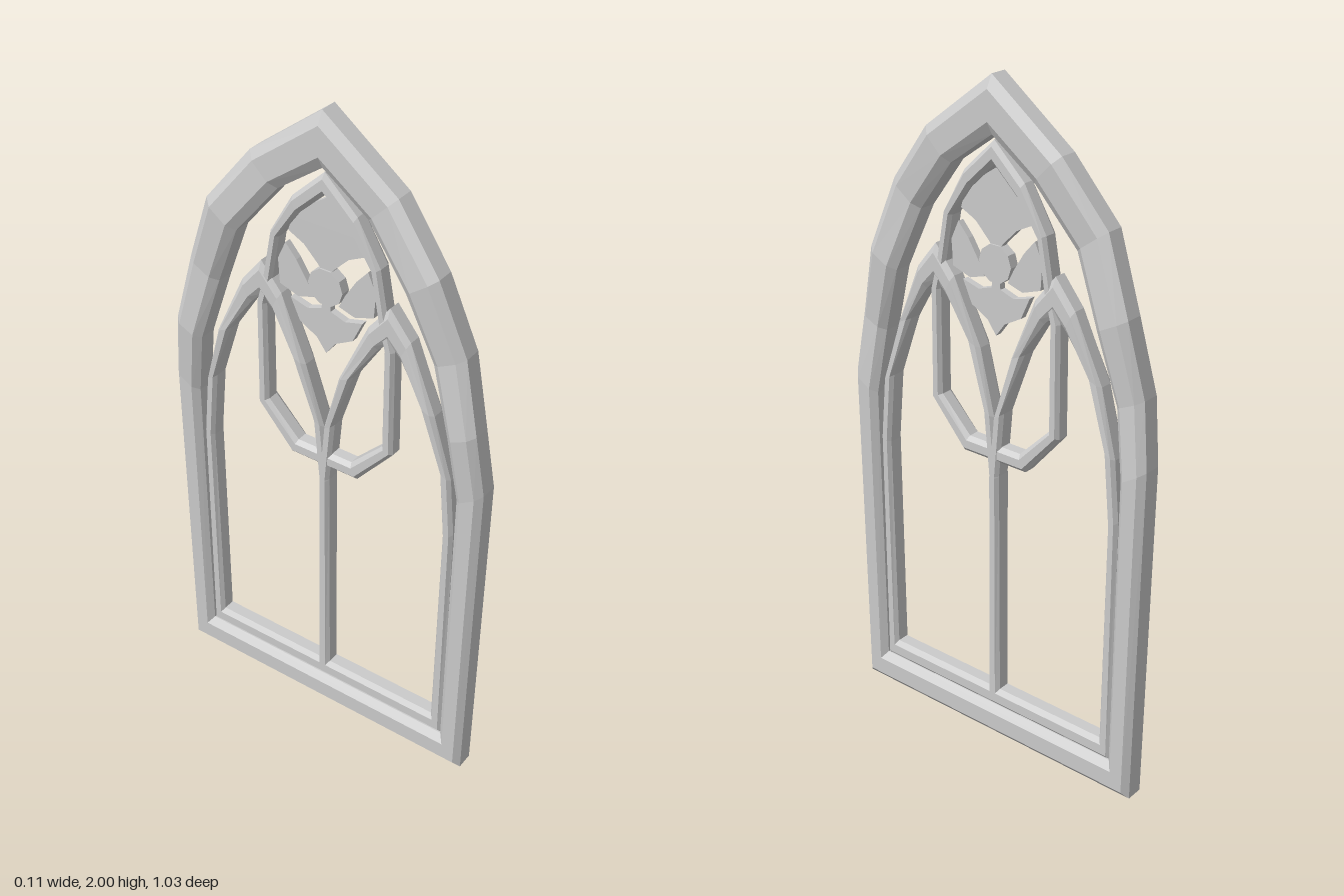
import * as THREE from 'three';

const mat = new THREE.MeshStandardMaterial({ color: 0xcccccc, flatShading: true, side: THREE.DoubleSide });

// Closed chamfered bar lying in the z-y plane, symmetric about z = axis.
// Each row of half: [outer z, outer y, inner z, inner y, shift in x], from bottom corner to apex.
function ring(name, half, depth, flat, chamfer, axis = 0, centre = 0.005) {
  const mirrored = half.slice(0, -1).reverse().map(([a, b, c, d, s]) => [-a, b, -c, d, s]);
  const path = [...half, ...mirrored];
  const section = [
    [0, -flat], [0, flat], [chamfer, depth], [1 - chamfer, depth],
    [1, flat], [1, -flat], [1 - chamfer, -depth], [chamfer, -depth],
  ];
  const pos = [], index = [], n = section.length;
  path.forEach(([oz, oy, iz, iy, s = 0], i) => {
    const next = (i + 1) % path.length;
    section.forEach(([t, x], k) => {
      pos.push(centre + x + s, oy + (iy - oy) * t, axis + oz + (iz - oz) * t);
      const a = i * n + k, b = i * n + (k + 1) % n;
      const c = next * n + (k + 1) % n, d = next * n + k;
      index.push(a, b, c, a, c, d);
    });
  });
  const g = new THREE.BufferGeometry();
  g.setAttribute('position', new THREE.Float32BufferAttribute(pos, 3));
  g.setIndex(index);
  const flatGeo = g.toNonIndexed();
  flatGeo.computeVertexNormals();
  const mesh = new THREE.Mesh(flatGeo, mat);
  mesh.name = name;
  return mesh;
}

// Thin flat plate cut from a z-y outline
function plate(name, points, thick = 0.02) {
  const shape = new THREE.Shape(points.map(([z, y]) => new THREE.Vector2(z, y)));
  const g = new THREE.ExtrudeGeometry(shape, { depth: thick, bevelEnabled: false });
  g.translate(0, 0, -thick / 2);
  g.rotateY(-Math.PI / 2);
  g.translate(0.005, 0, 0);
  const mesh = new THREE.Mesh(g, mat);
  mesh.name = name;
  return mesh;
}

// Complete a half outline by mirroring it in z
const both = (half) => [
  ...half,
  ...half.filter(([z]) => z !== 0).reverse().map(([z, y]) => [-z, y]),
];

export function createModel() {
  const model = new THREE.Group();
  model.name = 'gothicWindow';

  // Outer pointed frame, slightly wavy along the arch
  model.add(ring('outerFrame', [
    [0.505, 0, 0.43, 0.1, 0],
    [0.515, 1.05, 0.435, 1.0, 0],
    [0.49, 1.24, 0.405, 1.2, -0.015],
    [0.44, 1.45, 0.345, 1.4, 0],
    [0.36, 1.66, 0.265, 1.59, -0.018],
    [0.225, 1.83, 0.14, 1.745, 0],
    [0, 2, 0, 1.845, 0],
  ], 0.045, 0.026, 0.23));

  // Two lancets sharing the central mullion
  for (const side of [1, -1]) {
    model.add(ring(side > 0 ? 'leftLancet' : 'rightLancet', [
      [0.225, 0.095, 0.185, 0.155],
      [0.222, 0.87, 0.19, 0.85],
      [0.205, 1.05, 0.17, 1.07],
      [0.15, 1.24, 0.105, 1.26, -0.008],
      [0.065, 1.43, 0.035, 1.37],
      [0, 1.51, 0, 1.405],
    ], 0.03, 0.018, 0.25, side * 0.205));
  }

  // Long pointed loop through the middle
  model.add(ring('centralLoop', [
    [0.11, 0.915, 0.09, 0.965],
    [0.225, 1.05, 0.19, 1.065],
    [0.222, 1.38, 0.19, 1.38],
    [0.2, 1.46, 0.17, 1.46],
    [0.172, 1.61, 0.145, 1.6],
    [0.1, 1.735, 0.08, 1.69],
    [0, 1.83, 0, 1.765],
  ], 0.028, 0.016, 0.25));

  // Flower: upper, side and lower petals around a hub
  model.add(plate('upperPetal', both([
    [0, 1.52], [0.025, 1.555], [0.07, 1.6], [0.12, 1.625], [0.105, 1.67], [0.06, 1.715], [0, 1.755],
  ])));
  const sidePetal = [
    [0.04, 1.45], [0.09, 1.435], [0.15, 1.455], [0.155, 1.53], [0.13, 1.585], [0.095, 1.545], [0.06, 1.49],
  ];
  model.add(plate('leftPetal', sidePetal));
  model.add(plate('rightPetal', sidePetal.map(([z, y]) => [-z, y]).reverse()));
  model.add(plate('lowerPetal', both([
    [0, 1.29], [0.03, 1.33], [0.085, 1.36], [0.115, 1.425], [0.06, 1.41], [0.015, 1.425], [0.01, 1.47], [0, 1.47],
  ])));
  const hub = new THREE.Mesh(new THREE.CylinderGeometry(0.055, 0.055, 0.03, 10), mat);
  hub.name = 'flowerHub';
  hub.rotation.z = Math.PI / 2;
  hub.position.set(0.005, 1.495, 0);
  model.add(hub);

  return model;
}
